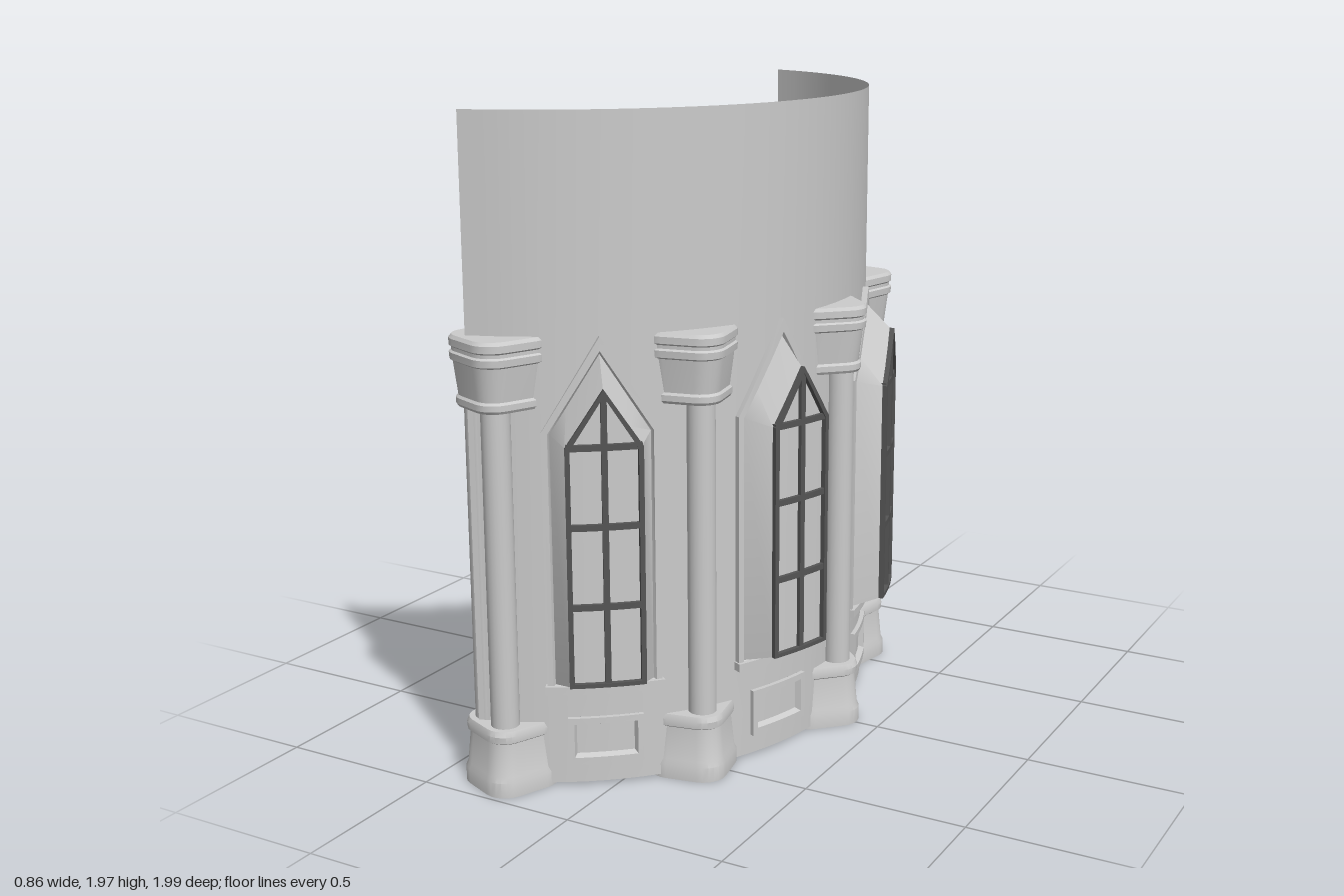
import * as THREE from 'three';
import { toCreasedNormals } from 'three/addons/utils/BufferGeometryUtils.js';

const R = 0.972, CX = -0.64, CZ = -0.006;
const BAY = THREE.MathUtils.degToRad(34), HALF = (BAY / 2) * R;
const stone = new THREE.MeshStandardMaterial({ color: 0xcccccc, side: THREE.DoubleSide });
const lead = new THREE.MeshStandardMaterial({ color: 0x555555, side: THREE.DoubleSide });
const pane = new THREE.MeshStandardMaterial({ color: 0xffffff, side: THREE.DoubleSide });

// Point on the curved wall: u along the arc, y up, r from the arc's axis
const bend = (u, y, r, angle) => {
  const t = angle + u / R;
  return [CX + r * Math.cos(t), y, CZ - r * Math.sin(t)];
};

// Mesh from a list of quads, each with four corners anticlockwise
function quadMesh(name, quads, material) {
  const pos = [];
  for (const [a, b, c, d] of quads) pos.push(...a, ...b, ...c, ...a, ...c, ...d);
  let g = new THREE.BufferGeometry();
  g.setAttribute('position', new THREE.Float32BufferAttribute(pos, 3));
  g = toCreasedNormals(g, 0.5);
  const m = new THREE.Mesh(g, material);
  m.name = name;
  return m;
}

// Quads between successive closed rings of points
function loft(rings) {
  const quads = [];
  for (let k = 0; k + 1 < rings.length; k++) {
    const A = rings[k], B = rings[k + 1], n = A.length;
    for (let i = 0; i < n; i++) {
      const j = (i + 1) % n;
      quads.push([A[i], A[j], B[j], B[i]]);
    }
  }
  return quads;
}

// Outline: half width w, bottom b, shoulder s, apex a, at radius r
const N = 6;
const topAt = (u, { w, s, a }) => a - (a - s) * Math.abs(u) / w;
function outline(o, angle) {
  const pts = [];
  for (let i = 0; i <= N; i++) pts.push(bend(-o.w + (2 * o.w * i) / N, o.b, o.r, angle));
  for (let i = N; i >= 0; i--) {
    const u = -o.w + (2 * o.w * i) / N;
    pts.push(bend(u, topAt(u, o), o.r, angle));
  }
  return pts;
}
function fill(o, angle) {
  const p = outline(o, angle), n = p.length, quads = [];
  for (let i = 0; i < N; i++) quads.push([p[i], p[i + 1], p[n - 2 - i], p[n - 1 - i]]);
  return quads;
}
const O = (w, b, s, a, r) => ({ w, b, s, a, r });
const WINDOW = [O(0.165, 0.3, 1.075, 1.345, R), O(0.165, 0.3, 1.075, 1.345, 0.99),
  O(0.148, 0.318, 1.07, 1.305, 0.99), O(0.142, 0.322, 1.068, 1.295, 0.98), O(0.1, 0.345, 1.05, 1.215, 1.06)];
const FRAME = [O(0.1, 0.345, 1.05, 1.215, 1.055), O(0.1, 0.345, 1.05, 1.215, 1.075),
  O(0.087, 0.357, 1.045, 1.195, 1.075), O(0.087, 0.357, 1.045, 1.195, 1.055)];
const PANEL = [O(0.11, 0.07, 0.215, 0.215, R), O(0.11, 0.07, 0.215, 0.215, 0.986),
  O(0.092, 0.092, 0.196, 0.196, 0.986), O(0.085, 0.1, 0.188, 0.188, 0.968)];

// Box bent along the wall
function bentBox(name, u0, u1, y0, y1, r0, r1, angle, material) {
  let g = new THREE.BoxGeometry(u1 - u0, y1 - y0, r1 - r0, 6, 1, 1);
  g.translate((u0 + u1) / 2, (y0 + y1) / 2, (r0 + r1) / 2);
  const p = g.attributes.position;
  for (let i = 0; i < p.count; i++) p.setXYZ(i, ...bend(p.getX(i), p.getY(i), p.getZ(i), angle));
  g = toCreasedNormals(g, 0.5);
  const m = new THREE.Mesh(g, material);
  m.name = name;
  return m;
}

// Wall strips, leaving out the window and panel openings
const TOP = 1.965, FOOT = 0.01;
function wall() {
  const quads = [], W = WINDOW[0], P = PANEL[0];
  const strip = (u0, u1, angle, lo, hi) => quads.push([
    bend(u0, lo(u0), R, angle), bend(u1, lo(u1), R, angle),
    bend(u1, hi(u1), R, angle), bend(u0, hi(u0), R, angle)]);
  const k = (v) => () => v;
  const us = [-HALF, -0.226];
  for (let i = -3; i <= 3; i++) us.push(i * 0.055);
  us.push(0.226, HALF);
  us.splice(us.indexOf(-0.11), 0);
  for (let b = 0; b < 4; b++) {
    const angle = (b - 1.5) * BAY;
    for (let i = 0; i + 1 < us.length; i++) {
      const u0 = us[i], u1 = us[i + 1], mid = Math.abs(u0 + u1) / 2;
      if (mid > W.w) { strip(u0, u1, angle, k(FOOT), k(TOP)); continue; }
      if (mid < P.w) {
        strip(u0, u1, angle, k(FOOT), k(P.b));
        strip(u0, u1, angle, k(P.s), k(W.b));
      } else strip(u0, u1, angle, k(FOOT), k(W.b));
      strip(u0, u1, angle, (u) => topAt(u, W), k(TOP));
    }
  }
  // Short returns past the end columns
  const end = 0.085;
  strip(0, end, 2 * BAY, k(FOOT), k(TOP));
  strip(-end, 0, -2 * BAY, k(FOOT), k(TOP));
  return quadMesh('wall', quads, stone);
}

function windowBay(angle) {
  const g = new THREE.Group();
  g.name = 'windowBay';
  const rings = (list) => loft(list.map((o) => outline(o, angle)));
  g.add(quadMesh('windowSurround', rings(WINDOW), stone));
  g.add(quadMesh('windowFrame', rings(FRAME), lead));
  g.add(quadMesh('glass', fill(O(0.1, 0.345, 1.05, 1.215, 1.06), angle), pane));
  g.add(quadMesh('lowerPanel', [...rings(PANEL), ...fill(PANEL[3], angle)], stone));
  g.add(bentBox('sill', -0.17, 0.17, 0.295, 0.32, 0.965, 1.0, angle, stone));
  g.add(bentBox('mullion', -0.008, 0.008, 0.35, 1.2, 1.05, 1.072, angle, lead));
  for (const y of [0.585, 0.82, 1.05])
    g.add(bentBox('glazingBar', -0.098, 0.098, y - 0.009, y + 0.009, 1.05, 1.072, angle, lead));
  return g;
}

// Rounded square ring with its corners on the axes
function roundedSquare(scale, y) {
  const pts = [], inner = 0.05 * Math.SQRT2, rad = 0.07;
  for (let c = 0; c < 4; c++) {
    const t = (c * Math.PI) / 2;
    for (let i = 0; i <= 6; i++) {
      const f = t + (i / 6 - 0.5) * Math.PI / 2;
      pts.push([scale * (inner * Math.cos(t) + rad * Math.cos(f)), y,
        -scale * (inner * Math.sin(t) + rad * Math.sin(f))]);
    }
  }
  return pts;
}
const BASE = [[0, 0.97], [0.045, 0.97], [0.06, 0.92], [0.16, 0.85], [0.165, 0.91], [0.185, 0.92], [0.2, 0.87], [0.2, 0.01]];
const CAPITAL = [[1.14, 0.01], [1.14, 0.85], [1.148, 0.89], [1.165, 0.89], [1.172, 0.84], [1.27, 0.93], [1.275, 0.99],
  [1.295, 1], [1.3, 0.95], [1.31, 0.95], [1.315, 1], [1.335, 1], [1.345, 0.94], [1.345, 0.01]];

// Clustered column: moulded base, four shafts round a core, flared capital
function column(angle) {
  const g = new THREE.Group();
  g.name = 'column';
  const moulded = (name, profile) => g.add(quadMesh(name, loft(profile.map(([y, s]) => roundedSquare(s, y))), stone));
  moulded('columnBase', BASE);
  moulded('capital', CAPITAL);
  const shaft = (name, r, x, z) => {
    const m = new THREE.Mesh(new THREE.CylinderGeometry(r, r, 0.96, 20, 1, true), stone);
    m.name = name;
    m.position.set(x, 0.67, z);
    g.add(m);
  };
  shaft('core', 0.052, 0, 0);
  for (let i = 0; i < 4; i++) {
    const t = (i * Math.PI) / 2;
    shaft('shaft', 0.042, 0.062 * Math.cos(t), 0.062 * Math.sin(t));
  }
  g.position.set(...bend(0, 0, 0.928, angle));
  g.rotation.y = angle;
  return g;
}

export function createModel() {
  const model = new THREE.Group();
  model.name = 'curvedArcade';
  model.add(wall());
  for (let i = 0; i < 4; i++) model.add(windowBay((i - 1.5) * BAY));
  for (let i = -2; i <= 2; i++) model.add(column(i * BAY));
  return model;
}
